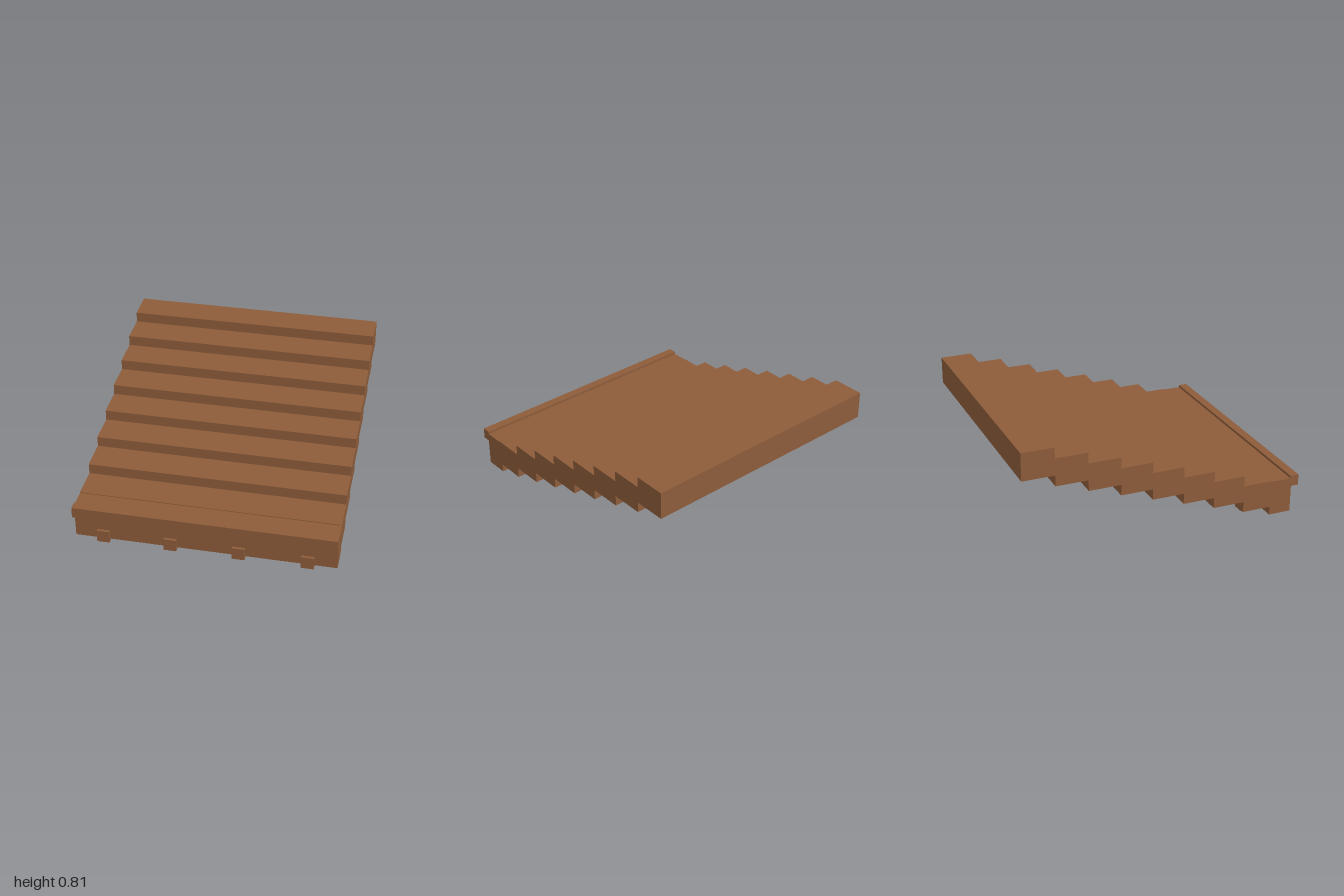
import * as THREE from 'three';

const WIDTH = 1.8;

export function createModel() {
  const group = new THREE.Group();
  group.name = 'staircase';
  const wood = new THREE.MeshStandardMaterial({ color: 0x8d5c3a });
  wood.name = 'brown wood';

  // Stepped side profile as [z, y], extruded across the width
  const stepCount = 8, run = 0.2257, rise = 0.0757, thickness = 0.195;
  const back = -1, top = 0.805;
  const upper = [], lower = [];
  for (let i = 0; i < stepCount; i++) {
    const z0 = back + i * run;
    const z1 = z0 + run;
    const y = top - i * rise;
    const last = i === stepCount - 1;
    upper.push([z0, y], [z1, y]);
    lower.push([z0, y - thickness], [last ? 0.785 : z1, y - thickness]);
  }
  // Front landing beam with its raised nosing
  const landing = [
    [0.8056, 0.27], [0.938, 0.27], [0.938, 0.288], [1, 0.288],
    [1, 0.21], [0.945, 0.21], [0.945, 0.02], [0.785, 0.02],
  ];
  const outline = [...upper, ...landing, ...lower.reverse()].reverse();
  const shape = new THREE.Shape(outline.map(([z, y]) => new THREE.Vector2(z, y)));
  const stairGeometry = new THREE.ExtrudeGeometry(shape, { depth: WIDTH, bevelEnabled: false });
  stairGeometry.rotateY(-Math.PI / 2).translate(WIDTH / 2, 0, 0);
  const steps = new THREE.Mesh(stairGeometry, wood);
  steps.name = 'steps';
  group.add(steps);

  // Short support blocks under the landing
  const footGeometry = new THREE.BoxGeometry(0.087, 0.09, 0.32);
  [-0.703, -0.237, 0.232, 0.7].forEach((x, i) => {
    const foot = new THREE.Mesh(footGeometry, wood);
    foot.name = `supportFoot${i + 1}`;
    foot.position.set(x, 0.045, 0.805);
    group.add(foot);
  });

  return group;
}
